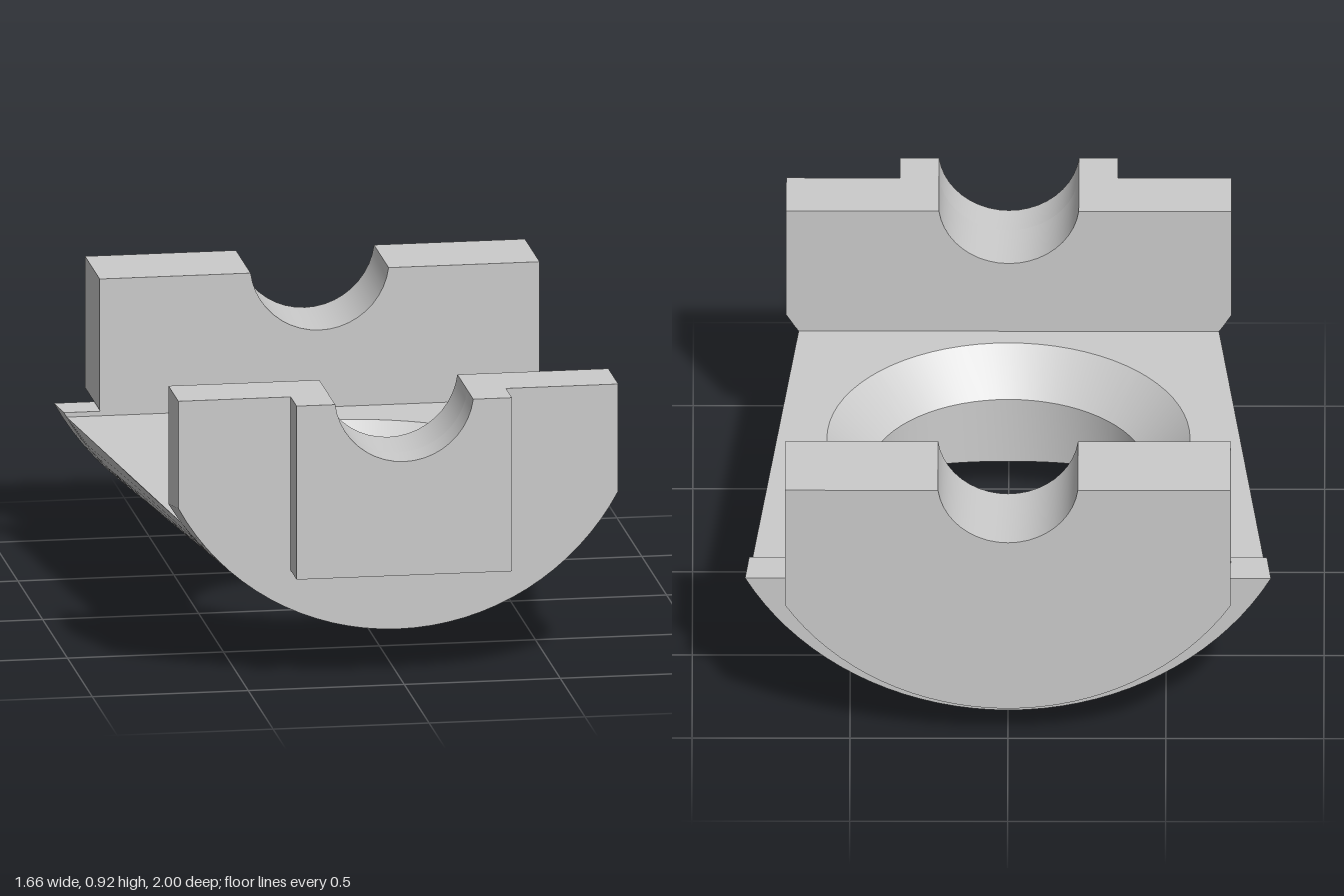
import * as THREE from 'three';
import { toCreasedNormals } from 'three/addons/utils/BufferGeometryUtils.js';

const AXIS = 0.955;   // height of the common axis of the shell and the bearing seats
const TOP = 0.927;    // top of the bearing blocks
const FLOOR = 0.48;   // flat top of the plate
const HOLE_Z = 0.035;
const BACK = -0.705, FRONT = 0.68;

// radius of the tapered underside at a given z
const radiusAt = z => THREE.MathUtils.mapLinear(z, -0.83, 0.88, 0.951, 0.8);
const underside = (x, z) => AXIS - Math.sqrt(radiusAt(z) ** 2 - x * x);
const halfWidth = (r, y) => Math.sqrt(r * r - (AXIS - y) ** 2);

// arc under the axis, from angle a0 to a1
function arc(r, a0, a1, n) {
  return Array.from({ length: n + 1 }, (_, i) => {
    const a = a0 + (a1 - a0) * i / n;
    return new THREE.Vector2(r * Math.sin(a), AXIS - r * Math.cos(a));
  });
}

// block outline: bottom points left to right, then the top with its round seat
function seatOutline(bottom, w) {
  const b = Math.acos((AXIS - TOP) / 0.223);
  return [...bottom, new THREE.Vector2(w, TOP), ...arc(0.223, b, -b, 20), new THREE.Vector2(-w, TOP)];
}
function roundBlock(r) {
  const a = Math.asin(0.705 / r);
  return seatOutline(arc(r, -a, a, 32), 0.705);
}
function ledgeOutline(r) {
  const a = Math.asin(halfWidth(r, 0.495) / r);
  return arc(r, -a, a, 36);
}

function makeMesh(name, pos, crease = 0.5) {
  let g = new THREE.BufferGeometry();
  g.setAttribute('position', new THREE.Float32BufferAttribute(pos, 3));
  g = toCreasedNormals(g, crease);
  const m = new THREE.Mesh(g, new THREE.MeshStandardMaterial({ color: 0xcccccc }));
  m.name = name;
  return m;
}

// solid between two matching counter-clockwise outlines
function loft(name, back, z0, front, z1) {
  const pos = [], n = back.length;
  const put = (p, z) => pos.push(p.x, p.y, z);
  for (let i = 0; i < n; i++) {
    const k = (i + 1) % n;
    put(back[i], z0); put(back[k], z0); put(front[k], z1);
    put(back[i], z0); put(front[k], z1); put(front[i], z1);
  }
  for (const [a, b, c] of THREE.ShapeUtils.triangulateShape(front, [])) {
    put(front[a], z1); put(front[b], z1); put(front[c], z1);
  }
  for (const [a, b, c] of THREE.ShapeUtils.triangulateShape(back, [])) {
    put(back[a], z0); put(back[c], z0); put(back[b], z0);
  }
  return makeMesh(name, pos);
}

// plate with flat top, tapered round underside and chamfered hole, built in rings
function plate() {
  const wb = halfWidth(radiusAt(BACK), FLOOR), wf = halfWidth(radiusAt(FRONT), FLOOR);
  const corners = [[wf, FRONT], [wb, BACK], [-wb, BACK], [-wf, FRONT]];
  const angles = corners.map(([x, z]) => Math.atan2(x, z - HOLE_Z));
  for (let i = 0; i < 72; i++) angles.push(-Math.PI + i * Math.PI / 36);
  angles.sort((a, b) => a - b);

  // distance from the hole centre to the plate outline
  const reach = a => {
    const s = Math.abs(Math.sin(a)), c = Math.cos(a);
    const end = c > 0 ? (FRONT - HOLE_Z) / c : (BACK - HOLE_Z) / Math.min(c, -1e-9);
    const slope = (wf - wb) / (FRONT - BACK);
    const side = (wf + slope * (HOLE_Z - FRONT)) / Math.max(s - slope * c, 1e-9);
    return Math.min(c === 0 ? side : end, side);
  };
  const column = a => {
    const at = (r, y) => {
      const x = r * Math.sin(a), z = HOLE_Z + r * Math.cos(a);
      return [x, y ?? Math.min(FLOOR, underside(x, z)), z];
    };
    const out = reach(a), inner = 0.445;
    const pts = [at(inner), at(inner, 0.35), at(0.575, FLOOR), at(out, FLOOR)];
    for (let k = 0; k <= 8; k++) pts.push(at(out + (inner - out) * k / 8));
    return pts;
  };
  const cols = angles.map(column), pos = [];
  cols.forEach((p, i) => {
    const q = cols[(i + 1) % cols.length];
    for (let j = 0; j < p.length - 1; j++) {
      // wall and chamfer, top, outer edge and underside follow in order
      pos.push(...p[j], ...p[j + 1], ...q[j + 1], ...p[j], ...q[j + 1], ...q[j]);
    }
  });
  return makeMesh('plate', pos);
}

export function createModel() {
  const group = new THREE.Group();
  group.name = 'bearingCradle';
  group.add(plate());

  // front bearing block, its underside continuing the taper
  group.add(loft('frontBlock', roundBlock(radiusAt(FRONT)), FRONT, roundBlock(radiusAt(0.88)), 0.88));

  // square tab on the front block
  const tab = seatOutline([new THREE.Vector2(-0.345, 0.36), new THREE.Vector2(0.345, 0.36)], 0.345);
  group.add(loft('frontTab', tab, 0.88, tab, 1));

  // back bearing block and the ledge around it
  const block = roundBlock(0.84);
  group.add(loft('backBlock', block, -1, block, BACK));
  group.add(loft('backLedge', ledgeOutline(radiusAt(-0.83)), -0.83, ledgeOutline(radiusAt(BACK)), BACK));
  return group;
}
